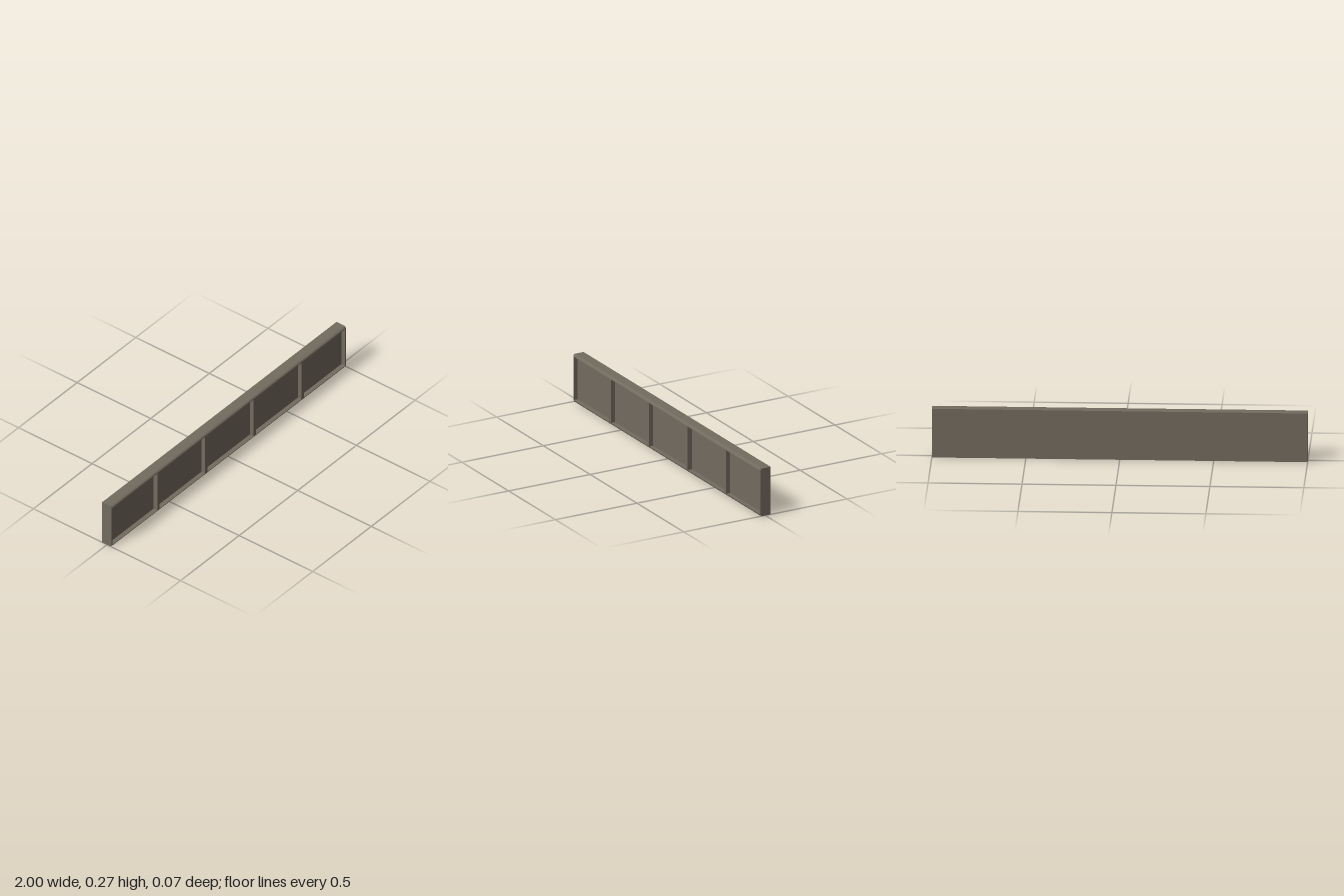
import * as THREE from 'three';
import { toCreasedNormals } from 'three/addons/utils/BufferGeometryUtils.js';

const H = 0.27, BACK = -0.033, FRONT = 0.033, RAIL = 0.012, STILE = 0.009;

export function createModel() {
  const group = new THREE.Group();
  const stone = new THREE.MeshStandardMaterial({ color: 0x736b5f });
  stone.name = 'warm grey';

  const add = (name, geometry) => {
    const mesh = new THREE.Mesh(geometry, stone);
    mesh.name = name;
    group.add(mesh);
  };

  // Side profile with optional rounded front corners, extruded from x0 to x1
  const bar = (name, x0, x1, y0, y1, front, rBottom, rTop) => {
    const s = new THREE.Shape();
    s.moveTo(-BACK, y0);
    s.lineTo(-front + rBottom, y0);
    if (rBottom) s.absarc(-front + rBottom, y0 + rBottom, rBottom, -Math.PI / 2, -Math.PI, true);
    s.lineTo(-front, y1 - rTop);
    if (rTop) s.absarc(-front + rTop, y1 - rTop, rTop, Math.PI, Math.PI / 2, true);
    s.lineTo(-BACK, y1);
    s.closePath();
    const g = new THREE.ExtrudeGeometry(s, { depth: x1 - x0, bevelEnabled: false, curveSegments: 6 });
    g.rotateY(Math.PI / 2).translate(x0, 0, 0);
    add(name, toCreasedNormals(g, 0.6));
  };

  // Recessed back panel
  const inner = 1 - STILE;
  bar('backPanel', -inner, inner, RAIL, H - RAIL, 0.008, 0, 0);

  // Long rails with rounded outer front edges
  bar('bottomRail', -inner, inner, 0, RAIL, FRONT, RAIL, 0);
  bar('topRail', -inner, inner, H - RAIL, H, FRONT, 0, RAIL);

  // End stiles, set slightly behind the rails
  bar('rightStile', -1, -inner, 0, H, 0.03, RAIL, RAIL);
  bar('leftStile', inner, 1, 0, H, 0.03, RAIL, RAIL);

  // Upright dividers between the panels
  for (const x of [-0.602, -0.194, 0.218, 0.629]) {
    const g = new THREE.BoxGeometry(0.02, H - 2 * RAIL, FRONT - 0.008);
    g.translate(x, H / 2, (FRONT + 0.008) / 2);
    add('divider', g);
  }
  return group;
}
